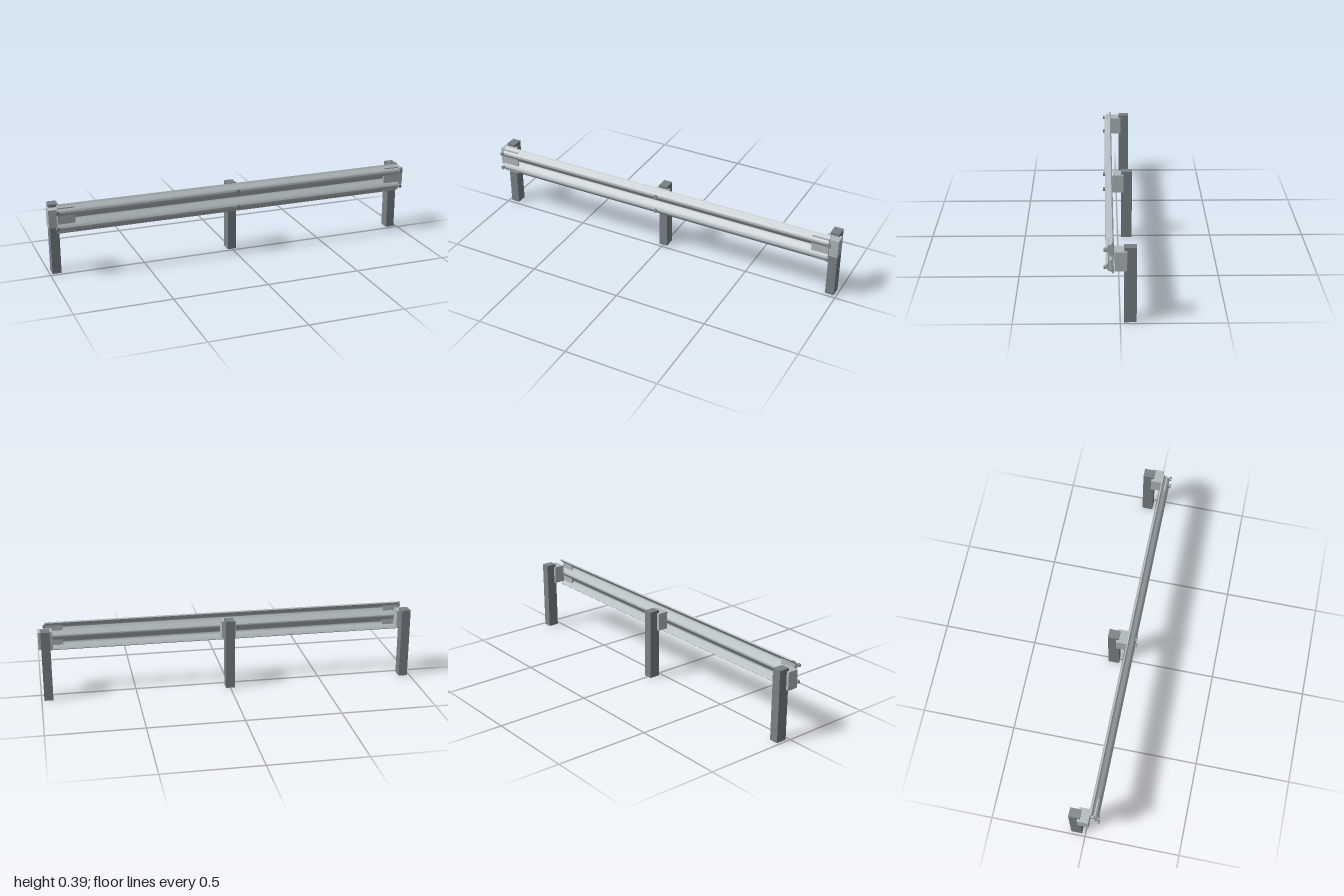
import * as THREE from 'three';
import { toCreasedNormals } from 'three/addons/utils/BufferGeometryUtils.js';

const galvanized = new THREE.MeshStandardMaterial({ name: 'galvanized steel', color: 0xb0b8bc });
const postSteel = new THREE.MeshStandardMaterial({ name: 'dark post steel', color: 0x7a8185 });
const boltSteel = new THREE.MeshStandardMaterial({ name: 'bolt steel', color: 0x8a9296 });

const RAIL_Y = 0.3155;      // height of the rail's centre valley
const HALF_LENGTH = 0.96;
const POST_X = 0.963;

function addMesh(parent, name, geometry, material, x, y, z) {
  const mesh = new THREE.Mesh(geometry, material);
  mesh.name = name;
  mesh.position.set(x, y, z);
  parent.add(mesh);
  return mesh;
}

// W-shaped sheet: a mirrored centreline thickened to both sides, then extruded along x
function railGeometry() {
  const half = [[0.032, 0.076], [0.041, 0.065], [0.057, 0.053], [0.0635, 0.0415], [0.056, 0.028], [0.041, 0.012]];
  const points = [
    ...half,
    [0.0315, 0],
    ...half.slice().reverse().map(([z, y]) => [z, -y]),
  ].map(([z, y]) => new THREE.Vector2(z, y));
  const curve = new THREE.SplineCurve(points);
  const front = [], back = [];
  const steps = 60, halfThickness = 0.004;
  for (let i = 0; i <= steps; i++) {
    const p = curve.getPoint(i / steps);
    const t = curve.getTangent(i / steps);
    const normal = new THREE.Vector2(-t.y, t.x).multiplyScalar(halfThickness);
    front.push(p.clone().add(normal));
    back.push(p.clone().sub(normal));
  }
  const shape = new THREE.Shape([...front, ...back.reverse()]);
  const geometry = new THREE.ExtrudeGeometry(shape, { depth: HALF_LENGTH * 2, bevelEnabled: false });
  geometry.rotateY(-Math.PI / 2).translate(HALF_LENGTH, 0, 0);
  return toCreasedNormals(geometry, Math.PI / 5);
}

export function createModel() {
  const model = new THREE.Group();
  model.name = 'guardrail';

  addMesh(model, 'rail', railGeometry(), galvanized, 0, RAIL_Y, 0);

  // Posts, spacer blocks and the pair of bolts at each support
  const postGeometry = new THREE.BoxGeometry(0.047, 0.377, 0.058);
  const blockGeometry = new THREE.BoxGeometry(0.074, 0.095, 0.058);
  const boltGeometry = toCreasedNormals(new THREE.CylinderGeometry(0.011, 0.011, 0.011, 6).rotateX(Math.PI / 2), 0.5);
  for (const side of [-1, 0, 1]) {
    const support = new THREE.Group();
    support.name = 'support';
    support.position.x = side * POST_X;
    model.add(support);
    addMesh(support, 'post', postGeometry, postSteel, 0, 0.1885, -0.047);
    addMesh(support, 'spacerBlock', blockGeometry, galvanized, 0, 0.3145, -0.002);
    for (const up of [-1, 1]) {
      addMesh(support, 'bolt', boltGeometry, boltSteel, 0, RAIL_Y + up * 0.043, 0.0715);
    }
  }

  // Splice plates passing through the corrugations at both ends
  const plateGeometry = new THREE.BoxGeometry(0.09, 0.13, 0.008);
  for (const side of [-1, 1]) {
    addMesh(model, 'splicePlate', plateGeometry, galvanized, side * 0.915, RAIL_Y, 0.052);
  }

  return model;
}
